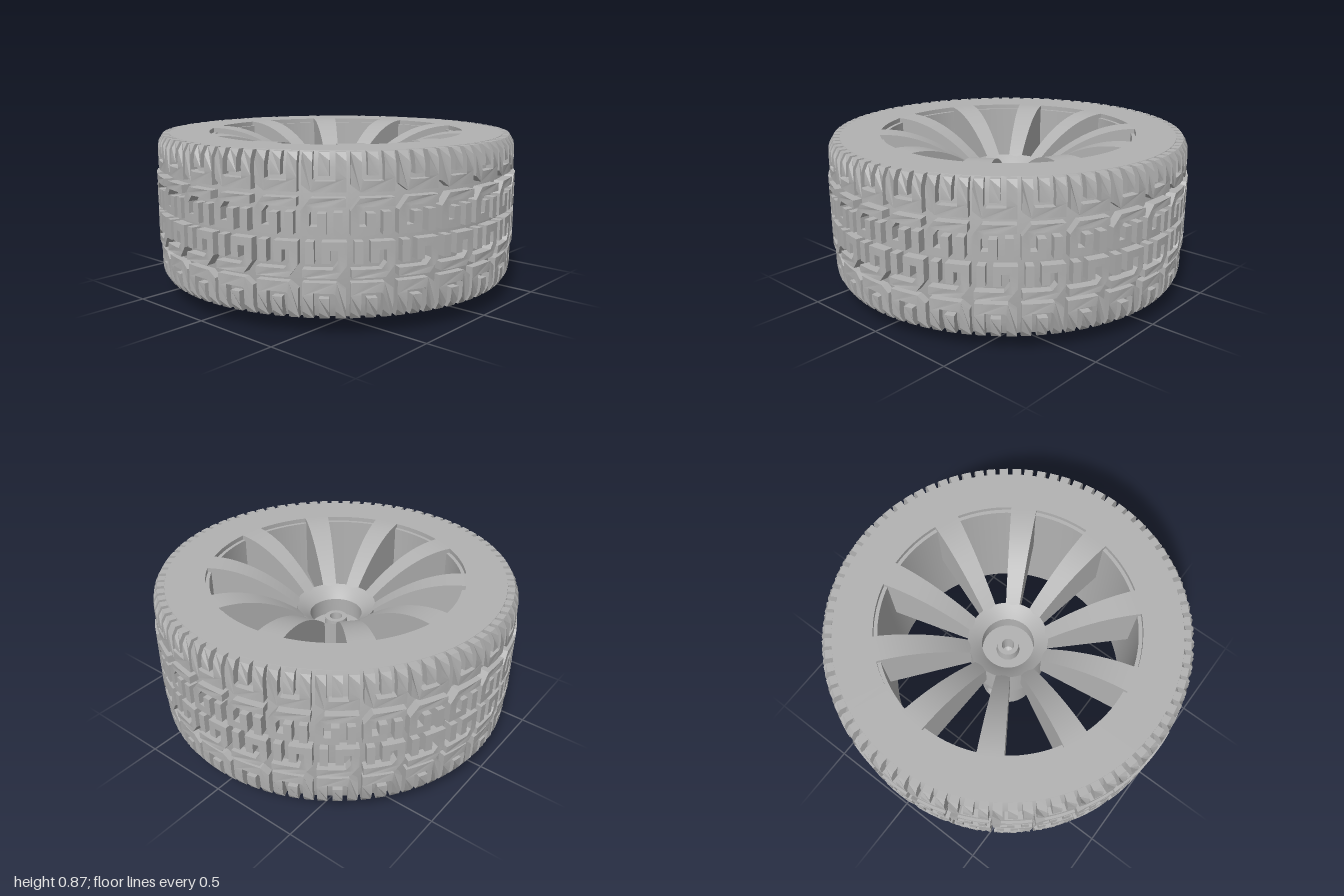
import * as THREE from 'three';
import { mergeGeometries, toCreasedNormals } from 'three/addons/utils/BufferGeometryUtils.js';

const BOTTOM = 0.09, TOP = 0.87, MID = 0.48;
const PITCHES = 28, SPOKES = 10;
const V = (x, y) => new THREE.Vector2(x, y);

// Distance from the nearer sidewall, and the two radii of the tread at a height
const edgeDist = (y) => Math.max(0, Math.min(y - BOTTOM, TOP - y));
const baseRadius = (y) => 0.925 + 0.025 * Math.min(1, edgeDist(y) / 0.07);
function treadRadius(y) {
  if (Math.abs(y - MID) < 0.2) return 1;
  const t = Math.min(1, edgeDist(y) / 0.08);
  return 0.955 + 0.035 * Math.sqrt(1 - (1 - t) * (1 - t));
}

// Wraps a flat geometry round the y axis: x is the angle, z picks the radius
function bend(geometry, radiusAt) {
  const p = geometry.attributes.position;
  for (let i = 0; i < p.count; i++) {
    const a = p.getX(i), y = p.getY(i), r = radiusAt(p.getZ(i), y);
    p.setXYZ(i, r * Math.sin(a), y, r * Math.cos(a));
  }
  return toCreasedNormals(geometry, 0.5);
}

// Splits the edges of a path into short steps
function subdivide(points, step) {
  const out = [points[0]];
  for (let i = 1; i < points.length; i++) {
    const n = Math.ceil(points[i].distanceTo(points[i - 1]) / step);
    for (let k = 1; k <= n; k++) out.push(points[i - 1].clone().lerp(points[i], k / n));
  }
  return out;
}

// Outline of a mitred strip that follows a path
function strip(path, half) {
  const pts = subdivide(path, 0.045);
  const left = [], right = [];
  pts.forEach((p, i) => {
    const before = p.clone().sub(pts[Math.max(0, i - 1)]).normalize();
    const after = pts[Math.min(pts.length - 1, i + 1)].clone().sub(p).normalize();
    const dir = before.clone().add(after).normalize();
    const ref = i ? before : after;
    const m = half / Math.max(0.5, dir.dot(ref));
    left.push(V(p.x - dir.y * m, p.y + dir.x * m));
    right.unshift(V(p.x + dir.y * m, p.y - dir.x * m));
  });
  return new THREE.Shape([...left, ...right]);
}

function treadBlock(path, half) {
  const g = new THREE.ExtrudeGeometry(strip(path, half), { depth: 1, bevelEnabled: false });
  return bend(g, (w, y) => THREE.MathUtils.lerp(baseRadius(y) - 0.01, treadRadius(y), w));
}

// One pitch of tread: hooked centre blocks and comb-shaped shoulder blocks
function treadTile() {
  const paths = [
    [[V(0.1, 0.645), V(-0.05, 0.645), V(-0.085, 0.6), V(-0.085, 0.515), V(-0.01, 0.515), V(-0.01, 0.595)], 0.02],
    [[V(0.065, 0.6), V(0.065, 0.495)], 0.02],
    [[V(-0.077, 0.868), V(-0.077, 0.735), V(-0.05, 0.715), V(0.077, 0.715), V(0.077, 0.868)], 0.025],
    [[V(0, 0.765), V(0, 0.868)], 0.025],
  ];
  const parts = [];
  for (const [path, half] of paths) {
    parts.push(treadBlock(path, half));
    parts.push(treadBlock(path.map((p) => V(-p.x, 2 * MID - p.y)), half));
  }
  return mergeGeometries(parts);
}

function lathe(points, segments = 112, start = 0, length = Math.PI * 2) {
  const g = new THREE.LatheGeometry(points.map(([r, y]) => V(r, y)), segments, start, length);
  return toCreasedNormals(g, 0.5);
}

// Deep spoke: flush with the rim, curving down to the hub, narrower inside
function spokeGeometry() {
  const pts = [V(0.712, 0.51), V(0.712, TOP)];
  for (let i = 0; i <= 16; i++) {
    const r = 0.7 - (0.51 * i) / 16;
    pts.push(V(r, TOP - 0.22 * ((0.7 - r) / 0.5) ** 2));
  }
  pts.push(V(0.19, 0.51));
  const g = new THREE.ExtrudeGeometry(new THREE.Shape(pts), { depth: 1, bevelEnabled: false });
  const p = g.attributes.position;
  for (let i = 0; i < p.count; i++) {
    const width = 0.075 + 0.13 * (p.getX(i) - 0.2);
    p.setZ(i, (p.getZ(i) - 0.5) * width);
  }
  return toCreasedNormals(g, 0.5);
}

// Lower end of the shaft, with a round cross hole at the front and back
function shaftEnd(inner, outer, height) {
  const parts = [];
  const edge = subdivide([V(-0.5, 0), V(0.5, 0)], 0.1);
  const top = edge.map((p) => V(-p.x, height));
  for (const side of [0, Math.PI]) {
    const shape = new THREE.Shape([...edge, ...top]);
    const hole = new THREE.Path();
    hole.absellipse(0, 0.103, 0.24, 0.04, 0, Math.PI * 2, true);
    shape.holes.push(hole);
    const g = new THREE.ExtrudeGeometry(shape, { depth: 1, bevelEnabled: false, curveSegments: 24 });
    parts.push(bend(g, (w) => THREE.MathUtils.lerp(inner, outer, w)).rotateY(side));
    parts.push(lathe([[inner, 0], [outer, 0], [outer, height], [inner, height], [inner, 0]],
      22, side + 0.5, Math.PI - 1));
  }
  return mergeGeometries(parts);
}

export function createModel() {
  const model = new THREE.Group();
  model.name = 'wheel';
  const grey = new THREE.MeshStandardMaterial({ color: 0xb2b2b2 });
  grey.name = 'grey';
  const add = (name, geometry, parent = model) => {
    const mesh = new THREE.Mesh(geometry, grey);
    mesh.name = name;
    parent.add(mesh);
    return mesh;
  };

  // Tyre body and rim barrel, with a small lip under the upper face
  add('tyreAndRim', lathe([
    [0.685, BOTTOM], [0.925, BOTTOM], [0.95, 0.16], [0.95, 0.8], [0.925, TOP],
    [0.71, TOP], [0.71, 0.845], [0.69, 0.845], [0.685, BOTTOM],
  ]));

  // Tread
  const tile = treadTile();
  const tiles = [];
  for (let i = 0; i < PITCHES; i++) tiles.push(tile.clone().rotateY((i * Math.PI * 2) / PITCHES));
  add('tread', mergeGeometries(tiles));

  // Spokes
  const spokes = new THREE.Group();
  spokes.name = 'spokes';
  model.add(spokes);
  const spoke = spokeGeometry();
  for (let i = 0; i < SPOKES; i++) {
    add('spoke', spoke, spokes).rotation.y = THREE.MathUtils.degToRad(84 + (i * 360) / SPOKES);
  }

  // Hub: bored shaft, flange, funnel and recessed centre boss
  add('hub', lathe([
    [0, 0.4], [0.085, 0.4], [0.085, 0.2], [0.165, 0.2], [0.165, 0.42], [0.22, 0.42],
    [0.22, 0.665], [0.18, 0.638], [0.145, 0.605], [0.145, 0.51], [0.065, 0.51],
    [0.06, 0.58], [0.035, 0.58], [0.03, 0.47], [0, 0.45],
  ], 64));
  add('shaftEnd', shaftEnd(0.085, 0.165, 0.2));

  return model;
}
